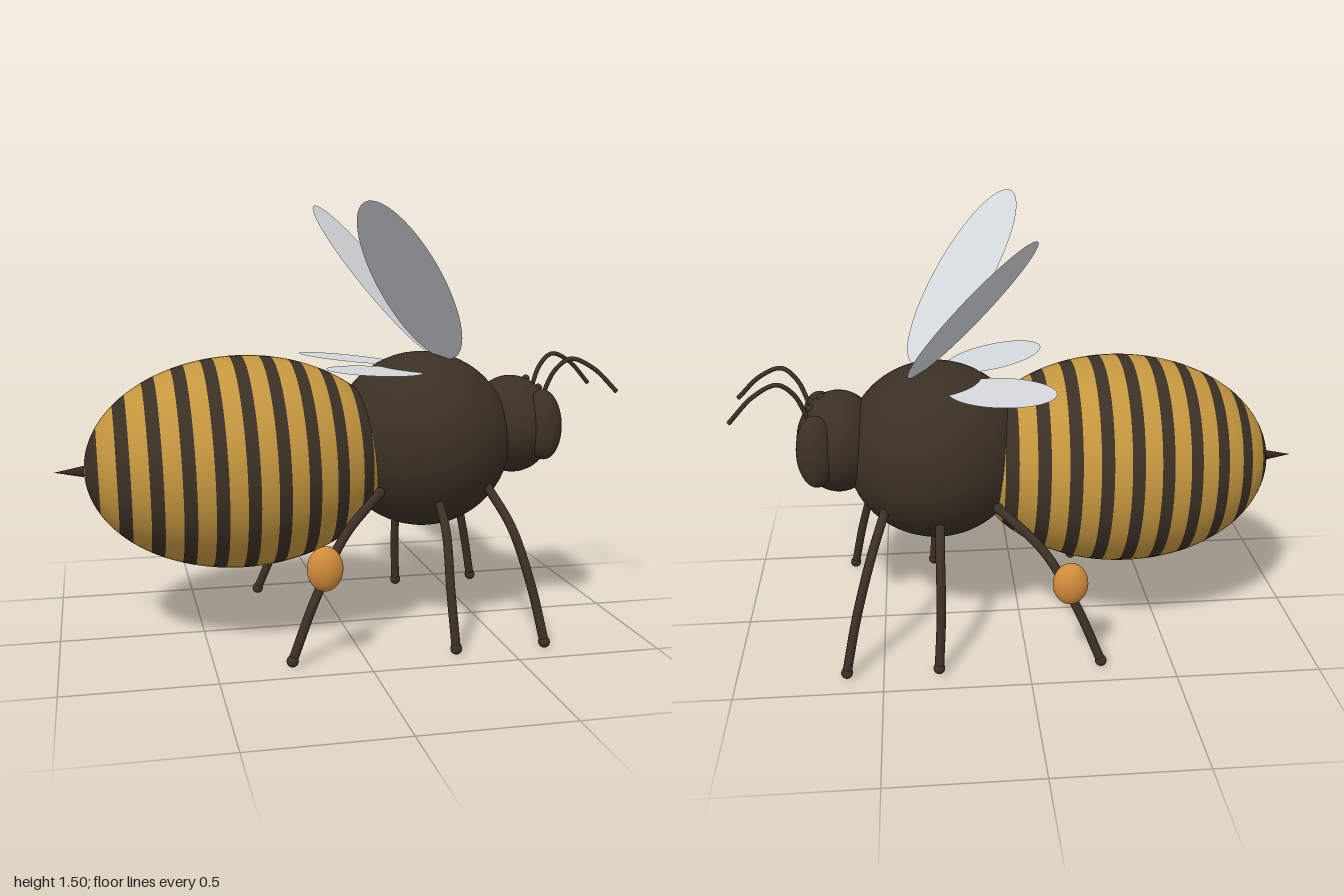
import * as THREE from 'three';

const mat = (name, color, extra = {}) => {
  const m = new THREE.MeshStandardMaterial({ color, ...extra });
  m.name = name;
  return m;
};
const V = (x, y, z) => new THREE.Vector3(x, y, z);

export function createModel() {
  const dark = mat('dark brown', 0x3b3025);
  const gold = mat('gold', 0xc4963e);
  const orange = mat('pollen orange', 0xd28c3c);
  const wingGrey = mat('wing grey', 0xd3d8dc, { side: THREE.DoubleSide });
  const sting = mat('sting brown', 0x3a2418);

  const bee = new THREE.Group();
  bee.name = 'bee';
  const add = (name, geo, material, parent = bee) => {
    const mesh = new THREE.Mesh(geo, material);
    mesh.name = name;
    parent.add(mesh);
    return mesh;
  };
  const ellipsoid = (name, material, pos, radii, parent) => {
    const mesh = add(name, new THREE.SphereGeometry(1, 40, 28), material, parent);
    mesh.position.set(...pos);
    mesh.scale.set(...radii);
    return mesh;
  };
  const tube = (name, points, radius, parent) =>
    add(name, new THREE.TubeGeometry(new THREE.CatmullRomCurve3(points), 28, radius, 10), dark, parent);

  // Striped abdomen: latitude bands of one ellipsoid, tail towards -x
  const abdomen = new THREE.Group();
  abdomen.name = 'abdomen';
  abdomen.position.set(-0.36, 0.615, 0);
  abdomen.rotation.z = 0.03;
  bee.add(abdomen);
  const half = 0.54;
  const band = (x0, x1, material) => {
    const t0 = Math.acos(THREE.MathUtils.clamp(-x0 / half, -1, 1));
    const t1 = Math.acos(THREE.MathUtils.clamp(-x1 / half, -1, 1));
    const geo = new THREE.SphereGeometry(1, 56, 5, 0, Math.PI * 2, t0, t1 - t0);
    geo.rotateZ(Math.PI / 2);
    geo.scale(half, 0.37, 0.384);
    add(material === gold ? 'goldBand' : 'darkBand', geo, material, abdomen);
  };
  band(-half, -0.536, gold);
  for (let i = 0; i < 10; i++) {
    const x = -0.536 + i * 0.102;
    band(x, x + 0.043, dark);
    band(x + 0.043, i === 9 ? half : x + 0.102, gold);
  }

  // Stinger
  const stinger = add('stinger', new THREE.ConeGeometry(0.025, 0.13, 14), sting);
  stinger.rotation.z = Math.PI / 2;
  stinger.position.set(-0.935, 0.6, 0);

  // Thorax and head
  ellipsoid('thorax', dark, [0.295, 0.672, 0], [0.32, 0.314, 0.316]);
  ellipsoid('head', dark, [0.635, 0.714, 0], [0.147, 0.177, 0.193]);
  for (const [x, y, z] of [[0.69, 0.878, 0], [0.725, 0.848, 0.035], [0.725, 0.848, -0.035]])
    ellipsoid('simpleEye', dark, [x, y, z], [0.014, 0.014, 0.014]);

  // Flat elliptical wing from its centre and two half axes
  const wing = (name, c, a, b, parent) => {
    const geo = new THREE.CircleGeometry(1, 56);
    const n = a.clone().cross(b).normalize();
    geo.applyMatrix4(new THREE.Matrix4().makeBasis(a, b, n).setPosition(c));
    add(name, geo, wingGrey, parent);
  };

  // Paired parts
  for (const s of [1, -1]) {
    const side = new THREE.Group();
    side.name = s > 0 ? 'nearSide' : 'farSide';
    bee.add(side);

    const eye = ellipsoid('compoundEye', dark, [0.705, 0.73, s * 0.14], [0.067, 0.125, 0.064], side);
    eye.rotation.x = -s * 0.14;

    tube('antenna', [V(0.735, 0.83, s * 0.06), V(0.772, 0.915, s * 0.075), V(0.825, 0.957, s * 0.09),
      V(0.905, 0.923, s * 0.108), V(0.99, 0.838, s * 0.128)], 0.008, side);

    // Legs: x at hip, upper, lower and foot
    const legs = { frontLeg: [0.48, 0.53, 0.585, 0.625], middleLeg: [0.29, 0.295, 0.298, 0.31], hindLeg: [0.09, -0.06, -0.17, -0.25] };
    for (const [name, x] of Object.entries(legs)) {
      tube(name, [V(x[0], 0.525, s * 0.21), V(x[1], 0.405, s * 0.32),
        V(x[2], 0.21, s * 0.375), V(x[3], 0.02, s * 0.405)], 0.016, side);
      ellipsoid(name + 'Hip', dark, [x[0], 0.525, s * 0.21], [0.018, 0.018, 0.018], side);
      ellipsoid(name + 'Foot', dark, [x[3], 0.02, s * 0.405], [0.02, 0.02, 0.02], side);
    }
    ellipsoid('pollenBasket', orange, [-0.14, 0.325, s * 0.402], [0.06, 0.075, 0.043], side);

    wing('foreWing', V(0.18, 1.235, s * 0.262), V(-0.18, 0.27, s * 0.195), V(0.1, -0.015, s * 0.113), side);
    wing('hindWing', V(0.075, 0.945, s * 0.2), V(-0.16, 0.013, s * 0.12), V(0.08, -0.007, s * 0.107), side);
  }
  return bee;
}
